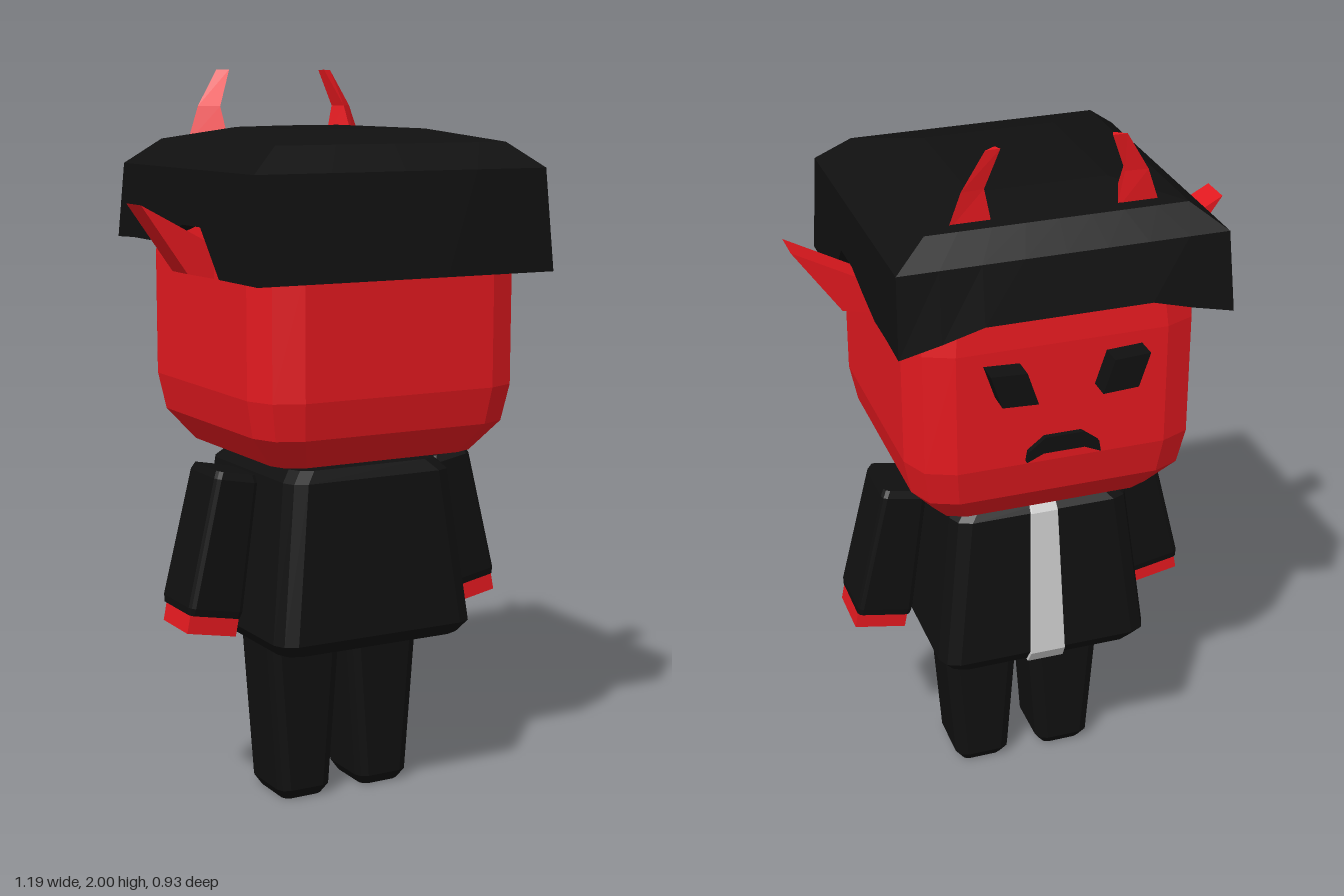
import * as THREE from 'three';

const material = (color) => new THREE.MeshStandardMaterial({ color, flatShading: true });
const red = material(0xe3191f);
const black = material(0x101010);
const grey = material(0xcccccc);

// Closed skin over rings of equal point count, listed from bottom to top
function loft(rings) {
  const pos = [];
  const tri = (...corners) => corners.forEach((p) => pos.push(...p));
  const n = rings[0].length;
  const centre = (ring) => [0, 1, 2].map((k) => ring.reduce((s, p) => s + p[k], 0) / n);
  const first = rings[0], last = rings[rings.length - 1];
  const c0 = centre(first), c1 = centre(last);
  for (let i = 0; i < n; i++) {
    const j = (i + 1) % n;
    for (let r = 0; r + 1 < rings.length; r++) {
      const lo = rings[r], hi = rings[r + 1];
      tri(lo[i], hi[i], lo[j]);
      tri(lo[j], hi[i], hi[j]);
    }
    tri(c0, first[i], first[j]);
    tri(c1, last[j], last[i]);
  }
  const geo = new THREE.BufferGeometry();
  geo.setAttribute('position', new THREE.Float32BufferAttribute(pos, 3));
  geo.computeVertexNormals();
  return geo;
}

// Rectangle with softened corners at height y
function ring(y, hx, hz, c, cx = 0, cz = 0) {
  const corner = [[0, c], [0.3 * c, 0.3 * c], [c, 0]];
  const pts = [];
  for (const [sx, sz] of [[1, 1], [-1, 1], [-1, -1], [1, -1]]) {
    const order = sx * sz > 0 ? corner : [...corner].reverse();
    for (const [dx, dz] of order) pts.push([cx + sx * (hx - dx), y, cz + sz * (hz - dz)]);
  }
  return pts;
}

// Subdivided square outline, with a height given per point
function squareRing(hx, hz, height) {
  const pts = [], n = 8;
  const corners = [[1, -1], [1, 1], [-1, 1], [-1, -1]];
  corners.forEach(([u0, v0], k) => {
    const [u1, v1] = corners[(k + 1) % 4];
    for (let i = 0; i < n; i++) {
      const u = u0 + ((u1 - u0) * i) / n, v = v0 + ((v1 - v0) * i) / n;
      pts.push([u * hx, height(u, v), v * hz]);
    }
  });
  return pts;
}

// Lower edge of the hair: low at the nape, cut out over the ears and brow
function hairEdge(u, v) {
  if (v <= -1) return Math.abs(u) > 0.8 ? 1.54 : Math.abs(u) > 0.6 ? 1.565 : 1.595;
  if (v >= 0.5) return 1.475;
  if (v >= 0) return 1.6;
  return v > -0.3 ? 1.57 : 1.545;
}

function extrude(points, depth) {
  const shape = new THREE.Shape(points.map(([x, y]) => new THREE.Vector2(x, y)));
  return new THREE.ExtrudeGeometry(shape, { depth, bevelEnabled: false });
}

export function createModel() {
  const group = new THREE.Group();
  const add = (name, geo, mat, x = 0, y = 0, z = 0) => {
    const mesh = new THREE.Mesh(geo, mat);
    mesh.name = name;
    mesh.position.set(x, y, z);
    group.add(mesh);
    return mesh;
  };

  // Head
  add('head', loft([
    ring(0.97, 0.23, 0.23, 0.05),
    ring(0.985, 0.3, 0.3, 0.07),
    ring(1.07, 0.37, 0.37, 0.1),
    ring(1.17, 0.39, 0.39, 0.11),
    ring(1.5, 0.39, 0.39, 0.11),
    ring(1.7, 0.37, 0.37, 0.11),
  ]), red);

  // Hair cap
  const flat = (y) => () => y;
  add('hair', loft([
    squareRing(0.33, 0.33, (u, v) => hairEdge(u, v) + 0.01),
    squareRing(0.436, 0.436, hairEdge),
    squareRing(0.428, 0.405, flat(1.745)),
    squareRing(0.34, 0.345, flat(1.812)),
    squareRing(0.18, 0.2, flat(1.845)),
    squareRing(0.08, 0.1, flat(1.85)),
  ]), black);

  // Jacket and the shirt strip on its front
  add('jacket', loft([
    ring(0.47, 0.275, 0.27, 0.05),
    ring(0.505, 0.3, 0.293, 0.05),
    ring(0.93, 0.25, 0.255, 0.05),
    ring(0.96, 0.22, 0.23, 0.05),
  ]), black);
  add('shirtStrip', loft([
    ring(0.465, 0.052, 0.02, 0.002, 0, -0.258),
    ring(0.503, 0.05, 0.02, 0.002, 0, -0.28),
    ring(0.932, 0.038, 0.02, 0.002, 0, -0.242),
    ring(0.963, 0.036, 0.02, 0.002, 0, -0.217),
  ]), grey);

  // Mouth, a downturned arch
  add('mouth', extrude([
    [-0.1, 1.18], [-0.055, 1.2], [0.055, 1.2], [0.1, 1.18],
    [0.095, 1.21], [0.05, 1.245], [-0.05, 1.245], [-0.095, 1.21],
  ], 0.03), black, 0, 0, -0.405);

  for (const s of [1, -1]) {
    const side = s > 0 ? 'left' : 'right';

    // Eyes slant down towards the middle
    add(side + 'Eye', extrude([
      [s * 0.115, 1.46], [s * 0.21, 1.465], [s * 0.18, 1.375], [s * 0.085, 1.37],
    ], 0.07), black, 0, 0, -0.45);

    // Pointed ears
    add(side + 'Ear', extrude([
      [s * 0.37, 1.46], [s * 0.465, 1.48], [s * 0.592, 1.66], [s * 0.37, 1.54],
    ], 0.095), red, 0, 0, -0.002);

    // Three-sided horns, bent inwards and back
    const horn = [
      [1.8, [0.275, -0.315], [0.16, -0.315], [0.195, -0.215]],
      [1.9, [0.24, -0.32], [0.18, -0.315], [0.195, -0.27]],
      [2.0, [0.18, -0.325], [0.142, -0.325], [0.15, -0.305]],
    ].map(([y, ...pts]) => {
      const level = pts.map(([x, z]) => [s * x, y, z]);
      return s > 0 ? level.reverse() : level;
    });
    add(side + 'Horn', loft(horn), red);

    // Sleeve and hand hang from the shoulder, splayed outwards
    const arm = new THREE.Group();
    arm.name = side + 'Arm';
    arm.position.set(s * 0.33, 0.945, 0.02);
    arm.rotation.z = s * 0.19;
    const sleeve = new THREE.Mesh(loft([
      ring(-0.39, 0.076, 0.09, 0.012),
      ring(-0.37, 0.08, 0.095, 0.015),
      ring(-0.02, 0.064, 0.088, 0.015),
      ring(0, 0.058, 0.08, 0.015),
    ]), black);
    sleeve.name = side + 'Sleeve';
    const hand = new THREE.Mesh(new THREE.BoxGeometry(0.145, 0.1, 0.155), red);
    hand.name = side + 'Hand';
    hand.position.set(0, -0.39, 0.005);
    arm.add(sleeve, hand);
    group.add(arm);

    // Tapered legs
    add(side + 'Leg', loft([
      ring(0, 0.06, 0.08, 0.02),
      ring(0.03, 0.08, 0.1, 0.03),
      ring(0.46, 0.112, 0.102, 0.03),
      ring(0.5, 0.112, 0.102, 0.03),
    ]), black, s * 0.124);
  }

  // The whole figure is turned slightly
  group.rotation.y = -0.063;
  const model = new THREE.Group();
  model.name = 'figure';
  model.add(group);
  return model;
}
